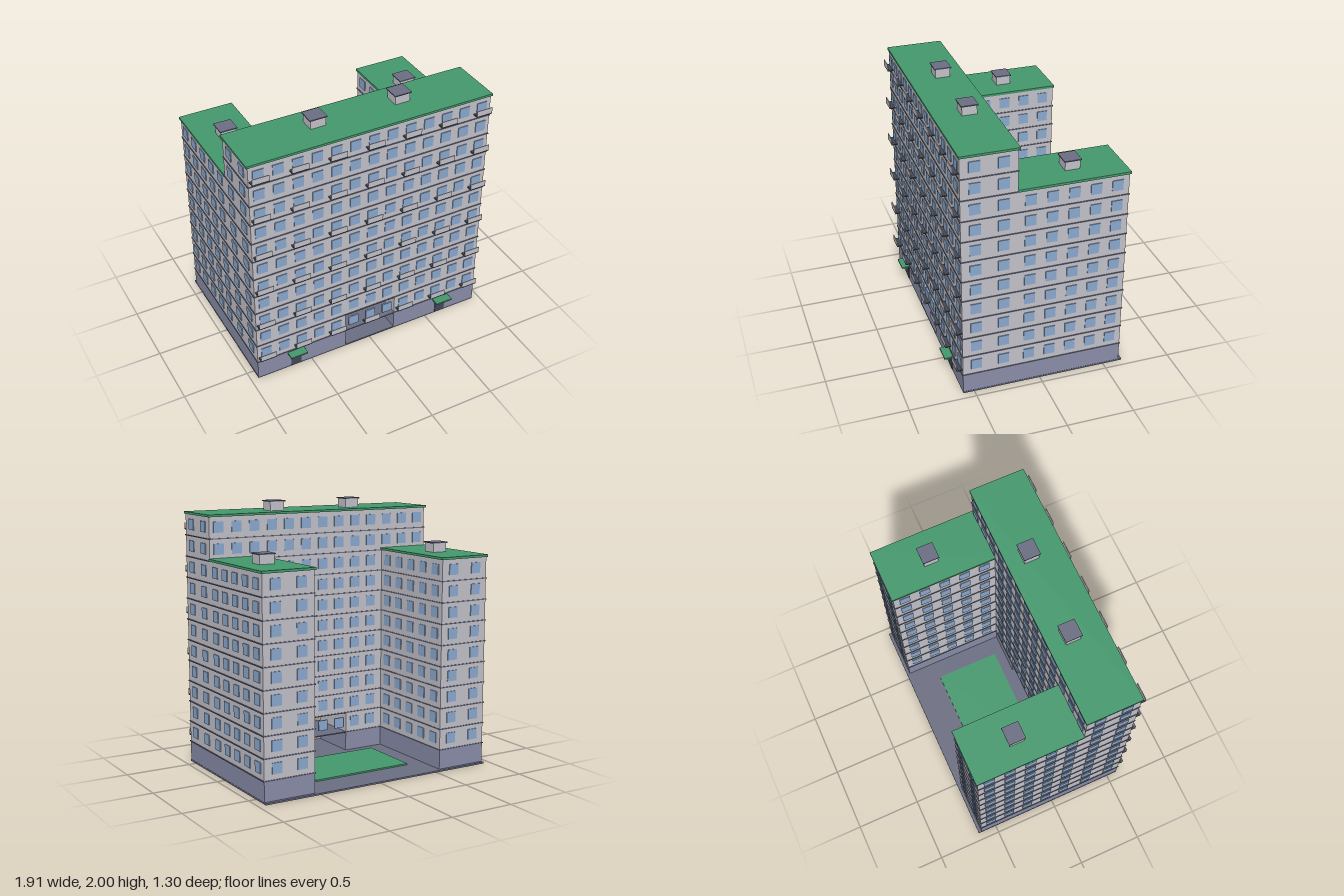
import * as THREE from 'three';
import { mergeGeometries } from 'three/addons/utils/BufferGeometryUtils.js';

const mat = (name, color) => {
  const m = new THREE.MeshStandardMaterial({ color });
  m.name = name;
  return m;
};

// box from its min and max corners
const box = (x0, x1, y0, y1, z0, z1) =>
  new THREE.BoxGeometry(x1 - x0, y1 - y0, z1 - z0)
    .translate((x0 + x1) / 2, (y0 + y1) / 2, (z0 + z1) / 2);

const X = 0.942, FRONT = 0.583, MID = 0.178, BACK = -0.624, INNER = 0.54;
const BASE = 0.16, STOREY = 0.159, GAP = 0.212, SLAB = 0.012;
const MAIN_FLOORS = 11, WING_FLOORS = 9;
const level = (i) => BASE + i * STOREY;

export function createModel() {
  const wall = mat('wall grey', 0xc4c3cb);
  const plinth = mat('plinth blue grey', 0x8a8ea9);
  const green = mat('green', 0x45996d);
  const slate = mat('slate', 0x6b6e82);
  const glass = mat('window blue', 0x8caad0);
  const dark = mat('dark grey', 0x454955);

  const model = new THREE.Group();
  model.name = 'apartmentBlock';
  const add = (name, material, geometries) => {
    const mesh = new THREE.Mesh(mergeGeometries(geometries), material);
    mesh.name = name;
    model.add(mesh);
  };
  const sides = [-1, 1];
  // mirrored box: given on +x, returned for either side
  const mbox = (s, x0, x1, ...rest) => (s > 0 ? box(x0, x1, ...rest) : box(-x1, -x0, ...rest));

  // ground slab and courtyard lawn
  add('groundSlab', slate, [box(-0.944, 0.944, 0, SLAB, -0.649, FRONT)]);
  add('lawn', green, [box(-0.4, 0.4, SLAB, 0.023, -0.405, 0.098)]);

  // main block, open at the passage on the lowest two levels
  add('plinths', plinth, sides.flatMap((s) => [
    mbox(s, GAP, X, SLAB, BASE, MID, FRONT),
    mbox(s, INNER, X, SLAB, BASE, BACK, MID),
  ]));
  add('mainWalls', wall, [
    ...sides.map((s) => mbox(s, GAP, X, BASE, level(1), MID, FRONT)),
    box(-X, X, level(1), level(MAIN_FLOORS), MID, FRONT),
  ]);
  add('wingWalls', wall, sides.map((s) =>
    mbox(s, INNER, X, BASE, level(WING_FLOORS), BACK, MID)));

  // thin bands at each floor
  const bands = [], o = 0.005, t = 0.004;
  for (let i = 0; i < MAIN_FLOORS; i++) {
    const y = level(i);
    bands.push(box(-X - o, X + o, y - t, y + t, MID - o, FRONT + o));
    if (i < WING_FLOORS) for (const s of sides)
      bands.push(mbox(s, INNER - o, X + o, y - t, y + t, BACK - o, MID));
  }
  add('floorBands', slate, bands);

  // roofs with a small overhang
  add('mainRoof', green, [box(-0.953, 0.953, 1.908, 1.925, 0.167, 0.59)]);
  add('wingRoofs', green, sides.map((s) => mbox(s, 0.531, 0.951, 1.591, 1.609, -0.634, 0.18)));

  // windows
  const W = 0.04, D = 0.006, windows = [];
  const winZ = (x, y, z) => windows.push(box(x - W, x + W, y - W, y + W, z - D, z + D));
  const winX = (x, y, z) => windows.push(box(x - D, x + D, y - W, y + W, z - W, z + W));
  for (let i = 0; i < MAIN_FLOORS; i++) {
    const y = level(i) + 0.084, wing = i < WING_FLOORS;
    for (let k = -6; k <= 6; k++) {
      const x = k * 0.145;
      winZ(x, y, FRONT);
      if (!wing || Math.abs(x) < INNER - W) winZ(x, y, MID);
    }
    for (const s of sides) {
      for (const z of [0.28, 0.482]) winX(s * X, y, z);
      if (!wing) continue;
      for (let k = 0; k < 5; k++) {
        const z = 0.09 - k * 0.157;
        winX(s * X, y, z);
        winX(s * INNER, y, z);
      }
      for (const x of [0.64, 0.842]) winZ(s * x, y, BACK);
    }
  }
  add('windows', glass, windows);

  // balconies on every second floor and every second window
  const slabs = [], panels = [];
  for (let i = 0; i < MAIN_FLOORS; i += 2) {
    const y = level(i) + 0.037;
    for (let k = -6; k <= 6; k += 2) {
      const x = k * 0.145;
      slabs.push(box(x - 0.063, x + 0.063, y, y + 0.009, FRONT, 0.627));
      panels.push(box(x - 0.063, x + 0.063, y + 0.009, y + 0.05, 0.621, 0.627));
    }
  }
  add('balconySlabs', dark, slabs);
  add('balconyPanels', wall, panels);

  // entrance doors and canopies
  add('doors', dark, sides.map((s) => mbox(s, 0.588, 0.672, SLAB, 0.135, FRONT - 0.003, FRONT + 0.006)));
  add('doorCanopies', green, sides.map((s) => mbox(s, 0.563, 0.699, 0.137, 0.149, FRONT, 0.65)));

  // roof vents with caps
  const vents = [], caps = [];
  for (const [x, y, z] of [[0.33, 1.925, 0.34], [0.739, 1.609, -0.262]])
    for (const s of sides) {
      vents.push(mbox(s, x - 0.058, x + 0.058, y, y + 0.067, z - 0.055, z + 0.055));
      caps.push(mbox(s, x - 0.067, x + 0.067, y + 0.067, y + 0.075, z - 0.063, z + 0.063));
    }
  add('roofVents', wall, vents);
  add('ventCaps', slate, caps);

  return model;
}
